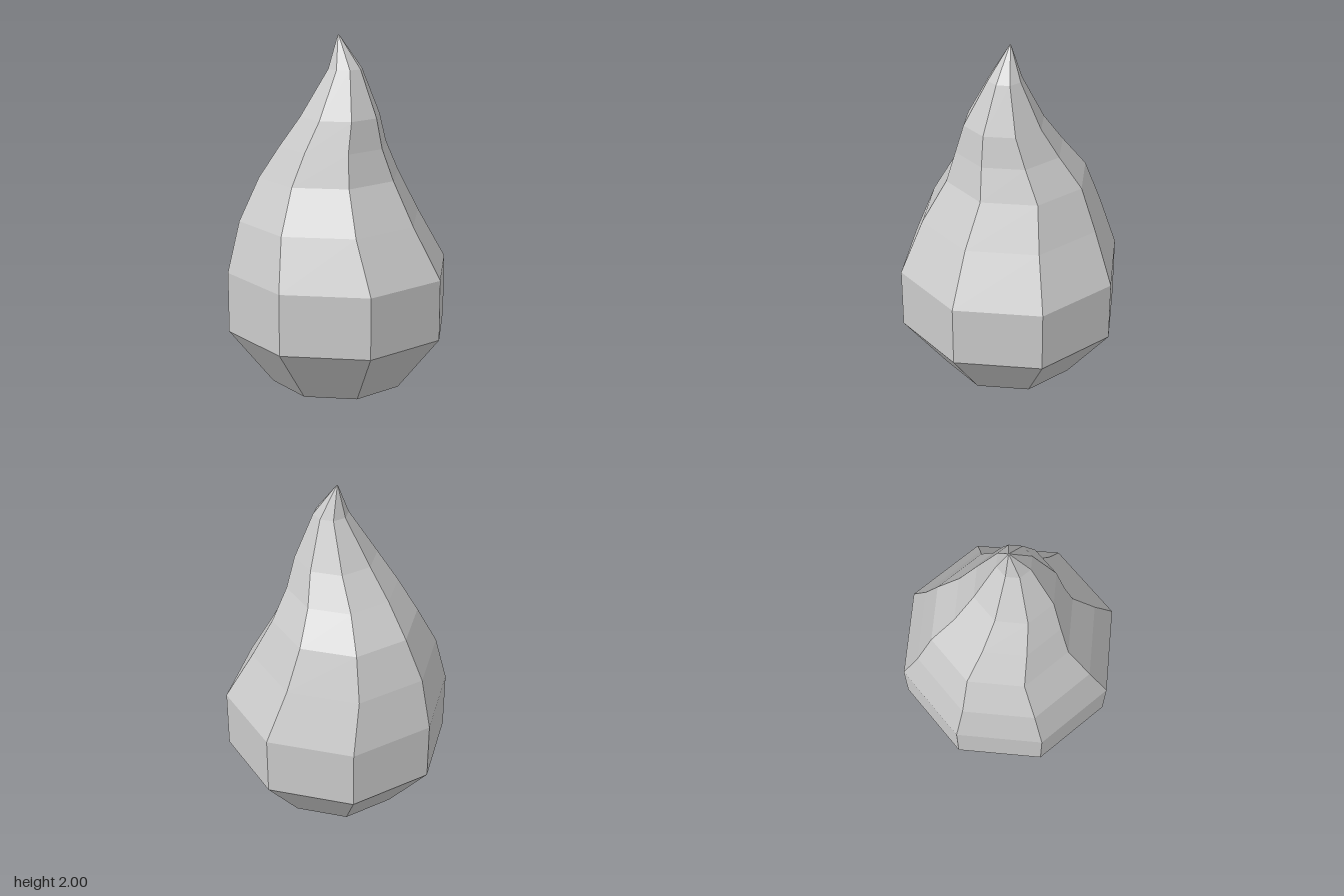
import * as THREE from 'three';

// Eight-sided rings from tip to open base: [height, radius, centre x, centre z]
const RINGS = [
  [2.0, 0.005, 0, 0],
  [1.82, 0.097, 0.028, 0.037],
  [1.56, 0.23, 0, 0.035],
  [1.39, 0.312, -0.03, -0.005],
  [1.21, 0.41, -0.04, -0.05],
  [0.97, 0.53, -0.042, -0.025],
  [0.68, 0.648, 0, 0],
  [0.33, 0.648, 0, 0],
  [0, 0.393, 0, 0],
];
const SIDES = 8;

export function createModel() {
  const group = new THREE.Group();
  group.name = 'flame';

  // Open tube whose rings are scaled and shifted to make the wavering drop
  const geometry = new THREE.CylinderGeometry(1, 1, 1, SIDES, RINGS.length - 1, true);
  const pos = geometry.attributes.position;
  for (let i = 0; i < pos.count; i++) {
    const [y, r, cx, cz] = RINGS[Math.floor(i / (SIDES + 1))];
    pos.setXYZ(i, cx + pos.getX(i) * r, y, cz + pos.getZ(i) * r);
  }
  geometry.computeVertexNormals();

  const material = new THREE.MeshStandardMaterial({
    color: 0xcccccc,
    flatShading: true,
    side: THREE.DoubleSide,
  });
  const body = new THREE.Mesh(geometry, material);
  body.name = 'flameShell';
  group.add(body);

  // Tiny cap closing the tip
  const tip = new THREE.Mesh(new THREE.CircleGeometry(RINGS[0][1], SIDES), material);
  tip.name = 'tipCap';
  tip.rotation.x = -Math.PI / 2;
  tip.position.y = RINGS[0][0];
  group.add(tip);

  return group;
}
